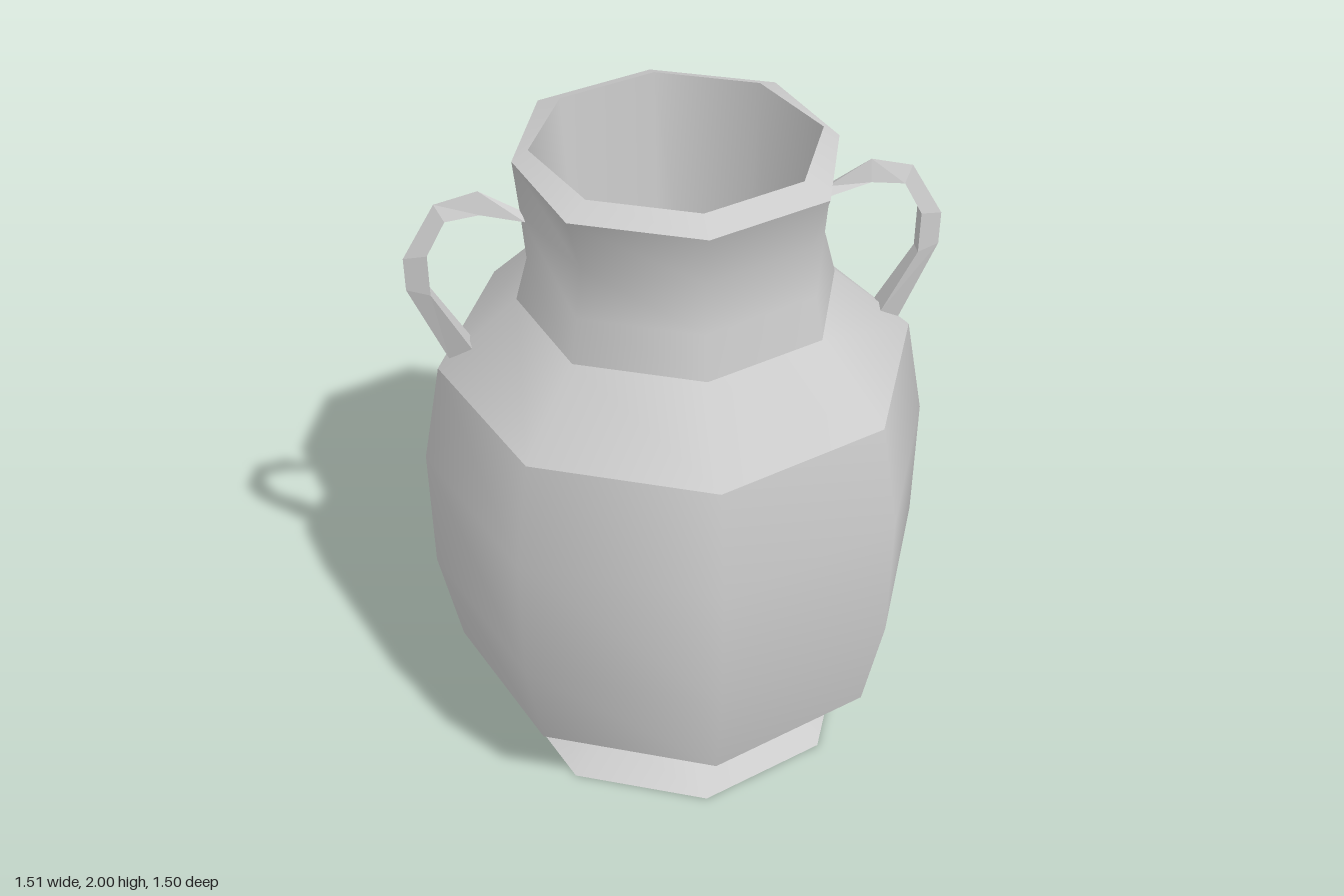
import * as THREE from 'three';

const clay = new THREE.MeshStandardMaterial({ color: 0xcccccc });
clay.name = 'grey clay';

// One eight-sided band of the pot. Profile points are [radius, y, radius at the two handle corners].
function band(name, profile) {
  const geo = new THREE.LatheGeometry(profile.map(([r, y]) => new THREE.Vector2(r, y)), 8);
  const pos = geo.attributes.position;
  for (let i = 0; i < pos.count; i++) {
    const sideRadius = profile[i % profile.length][2];
    if (sideRadius !== undefined && Math.abs(pos.getZ(i)) < 1e-4) {
      pos.setX(i, Math.sign(pos.getX(i)) * sideRadius);
    }
  }
  const mesh = new THREE.Mesh(geo, clay);
  mesh.name = name;
  return mesh;
}

// Handle with a triangular section: a ridge outside, a flat strip inside.
// Stations are [ridge x, ridge y, inner x, inner y, half width].
function handleGeometry() {
  const rings = [
    [0.42, 1.815, 0.42, 1.80, 0.03],
    [0.54, 1.89, 0.54, 1.825, 0.015],
    [0.66, 1.86, 0.635, 1.815, 0.02],
    [0.755, 1.70, 0.69, 1.715, 0.022],
    [0.755, 1.60, 0.69, 1.59, 0.022],
    [0.655, 1.36, 0.59, 1.41, 0.036],
  ].map(([ox, oy, ix, iy, w]) => [[ox, oy, 0], [ix, iy, w], [ix, iy, -w]]);
  const v = [];
  for (let i = 0; i < rings.length - 1; i++) {
    for (let k = 0; k < 3; k++) {
      const n = (k + 1) % 3;
      const a = rings[i][k], b = rings[i][n], c = rings[i + 1][n], d = rings[i + 1][k];
      v.push(...a, ...b, ...c, ...a, ...c, ...d);
    }
  }
  // End caps
  const first = rings[0], last = rings[rings.length - 1];
  v.push(...first[0], ...first[2], ...first[1], ...last[0], ...last[1], ...last[2]);
  const geo = new THREE.BufferGeometry();
  geo.setAttribute('position', new THREE.Float32BufferAttribute(v, 3));
  geo.computeVertexNormals();
  return geo;
}

export function createModel() {
  const model = new THREE.Group();
  model.name = 'twoHandledVase';

  // Outside, from the ground up; separate bands keep the creases sharp
  model.add(
    band('footBase', [[0, 0], [0.55, 0]]),
    band('foot', [[0.55, 0], [0.40, 0.08]]),
    band('bellyUnderside', [[0.40, 0.08], [0.69, 0.30]]),
    band('belly', [[0.69, 0.30], [0.75, 0.62], [0.75, 1.02], [0.69, 1.33]]),
    band('shoulder', [[0.69, 1.33], [0.48, 1.54, 0.455]]),
    band('neck', [[0.48, 1.54, 0.455], [0.455, 1.67, 0.42], [0.43, 1.81, 0.43], [0.48, 1.97, 0.445]]),
    band('rim', [[0.48, 1.97, 0.445], [0.40, 2.0]]),
  );

  // Hollow inside
  model.add(
    band('innerWall', [[0.40, 2.0], [0.29, 0.4]]),
    band('innerFloor', [[0.29, 0.4], [0, 0.4]]),
  );

  // Pair of handles
  const geo = handleGeometry();
  for (const [name, turn] of [['leftHandle', 0], ['rightHandle', Math.PI]]) {
    const handle = new THREE.Mesh(geo, clay);
    handle.name = name;
    handle.rotation.y = turn;
    model.add(handle);
  }
  return model;
}
